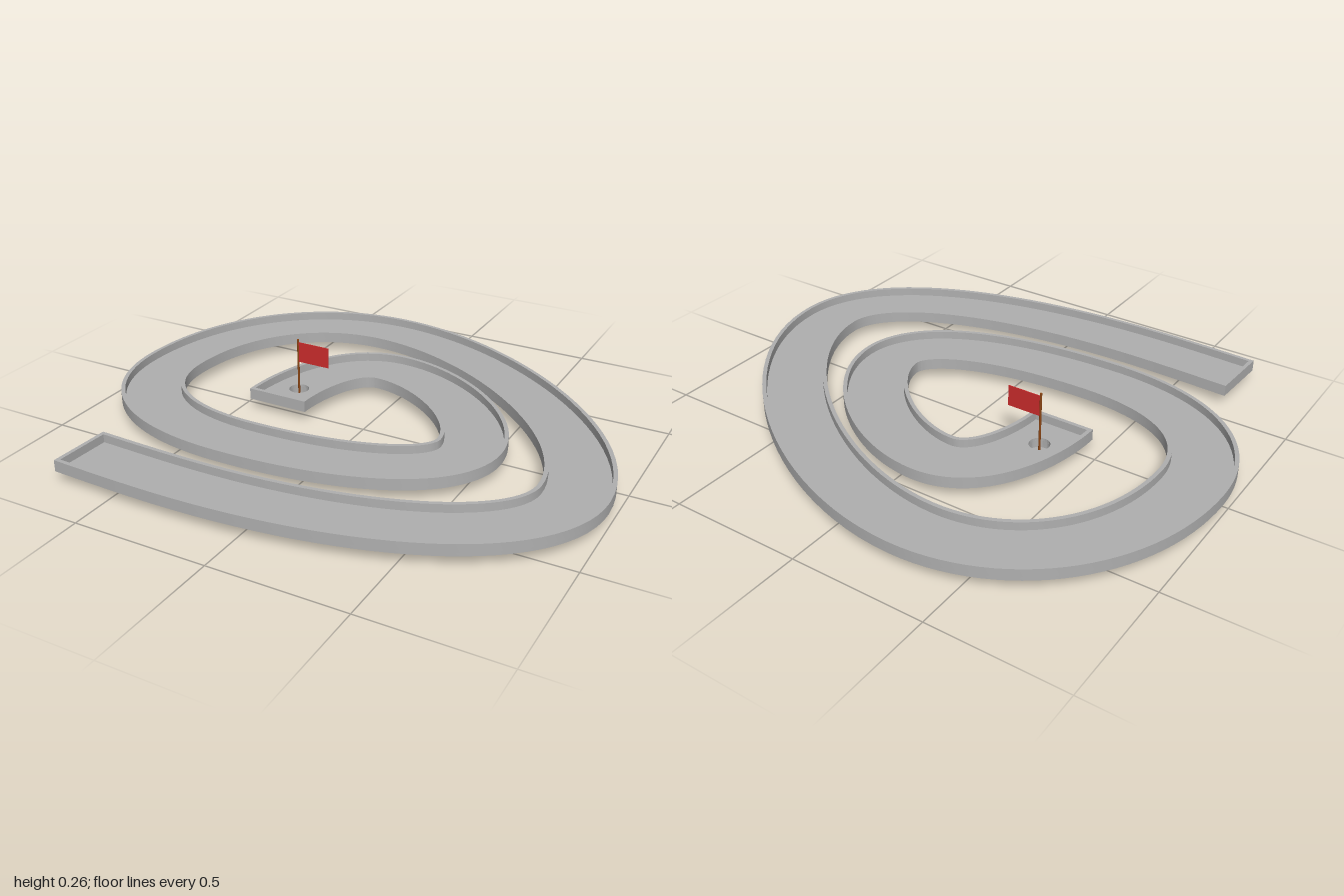
import * as THREE from 'three';
import { toCreasedNormals } from 'three/addons/utils/BufferGeometryUtils.js';

const HALF = 0.12, WALL = 0.015;
const Y0 = 0.041, FLOOR = 0.053, TOP = 0.084;
const HOLE = { x: -0.33, z: -0.093 };

// Centre line knots in plan: x, z, tangent x, tangent z, handle length in, handle length out
const KNOTS = [
  [-0.725, 0.71, 1, 0.044, 0, 0.14],
  [-0.31, 0.723, 1, 0, 0.14, 0.7],
  [0.873, 0.21, 0, -1, 0.3, 0.42],
  [-0.26, -0.73, -1, 0, 0.49, 0.35],
  [-0.878, -0.045, 0, 1, 0.4, 0.28],
  [-0.3, 0.395, 1, 0, 0.35, 0.46],
  [0.453, 0.08, 0, -1, 0.18, 0.21],
  [-0.08, -0.38, -1, 0, 0.23, 0.19],
  [-0.34, 0.05, 0, 1, 0.16, 0],
];

// Sample the spiral as points with unit tangents (shape y is -z)
function sampleSpiral(steps = 28) {
  const samples = [];
  for (let i = 0; i < KNOTS.length - 1; i++) {
    const a = KNOTS[i], b = KNOTS[i + 1];
    const v = (k, s) => new THREE.Vector2(k[0] + k[2] * s, -(k[1] + k[3] * s));
    const curve = new THREE.CubicBezierCurve(v(a, 0), v(a, a[5]), v(b, -b[4]), v(b, 0));
    for (let j = i ? 1 : 0; j <= steps; j++) {
      samples.push({ p: curve.getPoint(j / steps), t: curve.getTangent(j / steps) });
    }
  }
  return samples;
}

// Closed ribbon outline, pulled in at the sides and both ends by inset
function outline(samples, inset) {
  const h = HALF - inset, last = samples.length - 1;
  const side = (s) => samples.map(({ p, t }, i) => {
    const along = i === 0 ? inset : i === last ? -inset : 0;
    return new THREE.Vector2(p.x - t.y * h * s + t.x * along, p.y + t.x * h * s + t.y * along);
  });
  return [...side(-1), ...side(1).reverse()];
}

// Extrude a plan shape upwards from y0 to y1
function slab(shape, y0, y1) {
  const geo = new THREE.ExtrudeGeometry(shape, { depth: y1 - y0, bevelEnabled: false, curveSegments: 32 });
  geo.rotateX(-Math.PI / 2).translate(0, y0, 0);
  return toCreasedNormals(geo, 0.5);
}

export function createModel() {
  const group = new THREE.Group();
  const grey = new THREE.MeshStandardMaterial({ name: 'grey', color: 0xb0b0b0 });
  const brown = new THREE.MeshStandardMaterial({ name: 'brown', color: 0x8b4513 });
  const red = new THREE.MeshStandardMaterial({ name: 'red', color: 0xcc2c2c });
  const add = (name, geo, mat, x = 0, y = 0, z = 0) => {
    const mesh = new THREE.Mesh(geo, mat);
    mesh.name = name;
    mesh.position.set(x, y, z);
    group.add(mesh);
  };

  const samples = sampleSpiral();

  // Floor with the round hole
  const floor = new THREE.Shape(outline(samples, 0));
  floor.holes.push(new THREE.Path().absarc(HOLE.x, -HOLE.z, 0.038, 0, Math.PI * 2, true));
  add('trackFloor', slab(floor, Y0, FLOOR), grey);

  // Border wall all the way round
  const wall = new THREE.Shape(outline(samples, 0));
  wall.holes.push(new THREE.Path(outline(samples, WALL)));
  add('trackWall', slab(wall, FLOOR, TOP), grey);

  // Cup hanging under the hole
  const profile = [[0, 0.01], [0.042, 0.01], [0.042, 0.042], [0.038, 0.042], [0.038, 0.015], [0, 0.015]];
  const cup = new THREE.LatheGeometry(profile.map(([r, y]) => new THREE.Vector2(r, y)), 32);
  add('holeCup', toCreasedNormals(cup, 0.5), grey, HOLE.x, 0, HOLE.z);

  // Flag on its pole
  add('flagPole', new THREE.CylinderGeometry(0.004, 0.004, 0.258, 16), brown, HOLE.x, 0.129, HOLE.z);
  add('flag', new THREE.BoxGeometry(0.128, 0.08, 0.003), red, HOLE.x + 0.067, 0.207, HOLE.z);
  return group;
}
